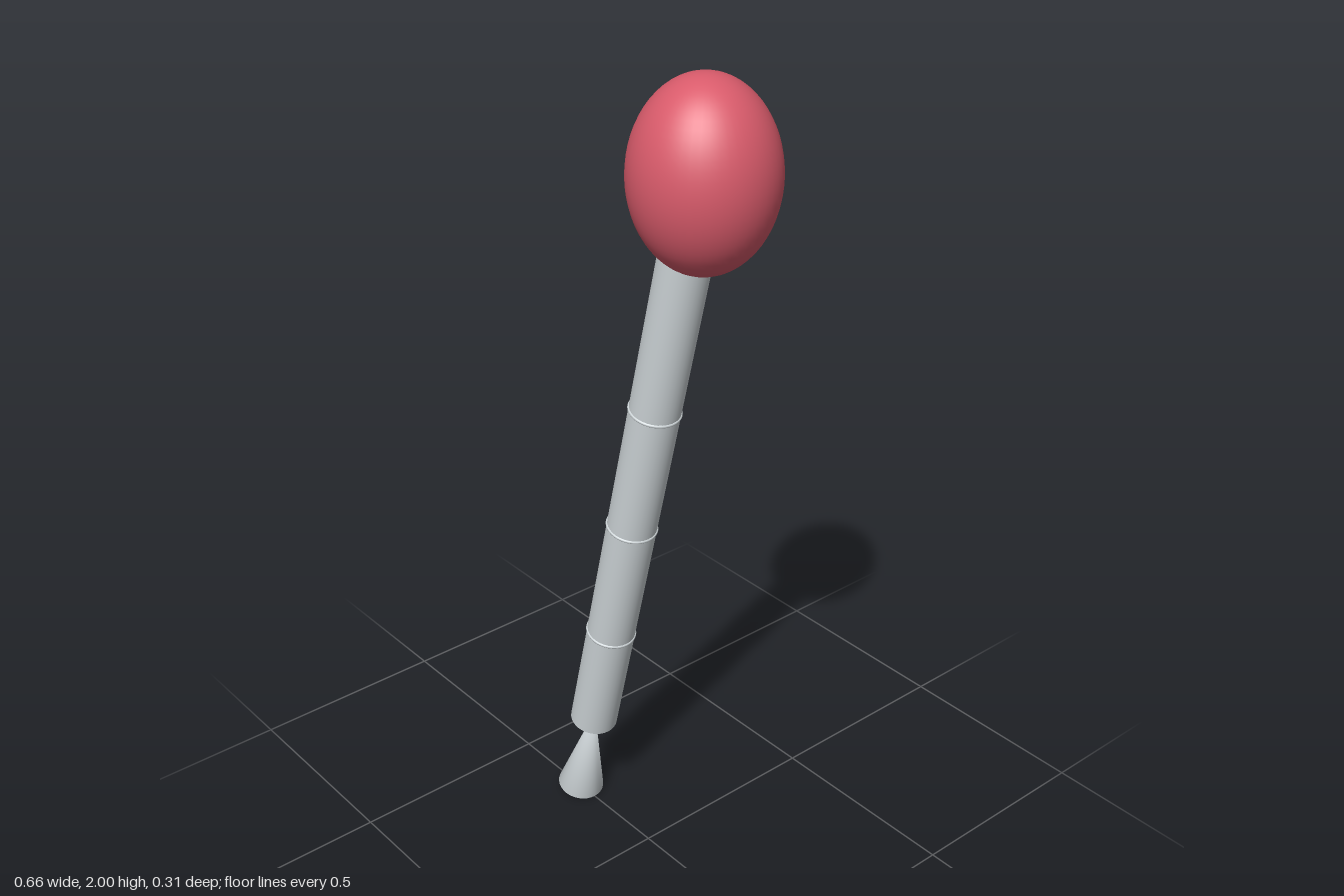
import * as THREE from 'three';
import { mergeVertices } from 'three/addons/utils/BufferGeometryUtils.js';

// Share vertices between walls and caps so the shading flows along the length
function smooth(geometry) {
  geometry.deleteAttribute('uv');
  geometry.deleteAttribute('normal');
  const merged = mergeVertices(geometry, 1e-4);
  merged.computeVertexNormals();
  return merged;
}

export function createModel() {
  const model = new THREE.Group();
  model.name = 'balloonOnStick';
  const red = new THREE.MeshStandardMaterial({ color: 0xd95b6b });
  red.name = 'balloon red';
  const grey = new THREE.MeshStandardMaterial({ color: 0xcfd6d9 });
  grey.name = 'pale grey';

  const add = (parent, name, geometry, material, y = 0) => {
    const mesh = new THREE.Mesh(geometry, material);
    mesh.name = name;
    mesh.position.y = y;
    parent.add(mesh);
    return mesh;
  };

  // Leaning stick: local y runs along its axis from the foot upward
  const stick = new THREE.Group();
  stick.name = 'stick';
  stick.position.set(-0.272, 0.018, 0);
  stick.rotation.z = -0.24;
  model.add(stick);

  // Flared foot, its tip meeting the shaft
  add(stick, 'foot', smooth(new THREE.ConeGeometry(0.058, 0.27, 32)), grey, 0.135);

  // Long shaft running up into the balloon
  const bottom = 0.25, top = 1.70;
  add(stick, 'shaft', smooth(new THREE.CylinderGeometry(0.058, 0.058, top - bottom, 32)),
    grey, (bottom + top) / 2);

  // Thin joint rings
  for (const y of [0.56, 0.9, 1.238]) {
    const ring = add(stick, 'jointRing', new THREE.TorusGeometry(0.057, 0.004, 8, 40), grey, y);
    ring.rotation.x = Math.PI / 2;
  }

  // Upright egg-shaped balloon
  const balloon = add(model, 'balloon', new THREE.SphereGeometry(0.157, 48, 32), red, 1.795);
  balloon.position.x = 0.17;
  balloon.scale.y = 0.205 / 0.157;

  return model;
}
